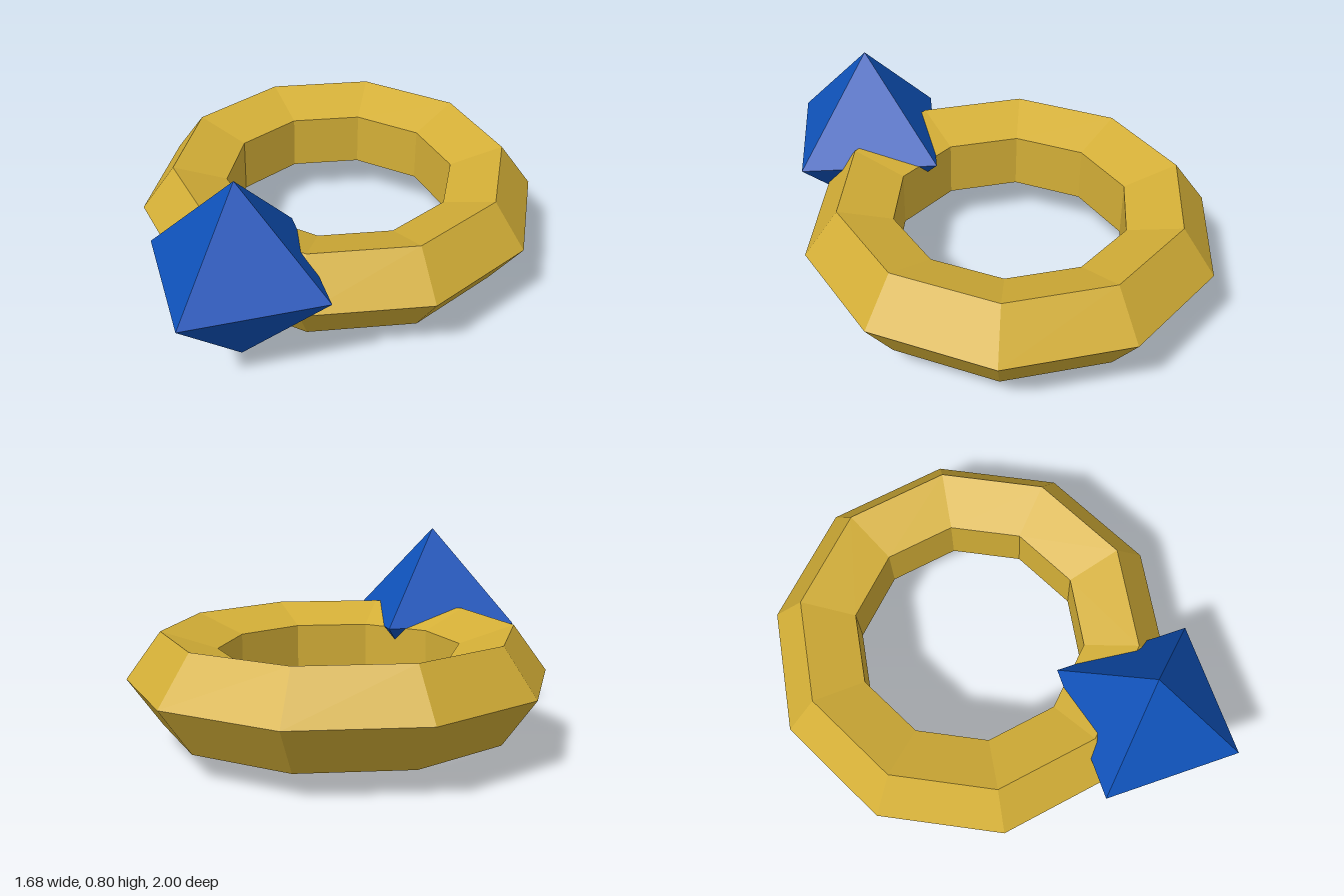
import * as THREE from 'three';

export function createModel() {
  const model = new THREE.Group();
  model.name = 'gemRing';

  const addPart = (name, geometry, color, x, y, z) => {
    const material = new THREE.MeshStandardMaterial({ color, flatShading: true });
    const mesh = new THREE.Mesh(geometry, material);
    mesh.name = name;
    mesh.position.set(x, y, z);
    model.add(mesh);
  };

  // Ten-sided gold band with a five-sided section, lying flat
  const band = new THREE.TorusGeometry(0.64, 0.198, 5, 10).rotateX(Math.PI / 2);
  addPart('band', band, 0xd4af37, 0, 0.283, -0.203);

  // Eight-faced blue gem set into the front of the band
  addPart('gem', new THREE.OctahedronGeometry(0.4), 0x0f52ba, 0, 0.4, 0.6);

  return model;
}
